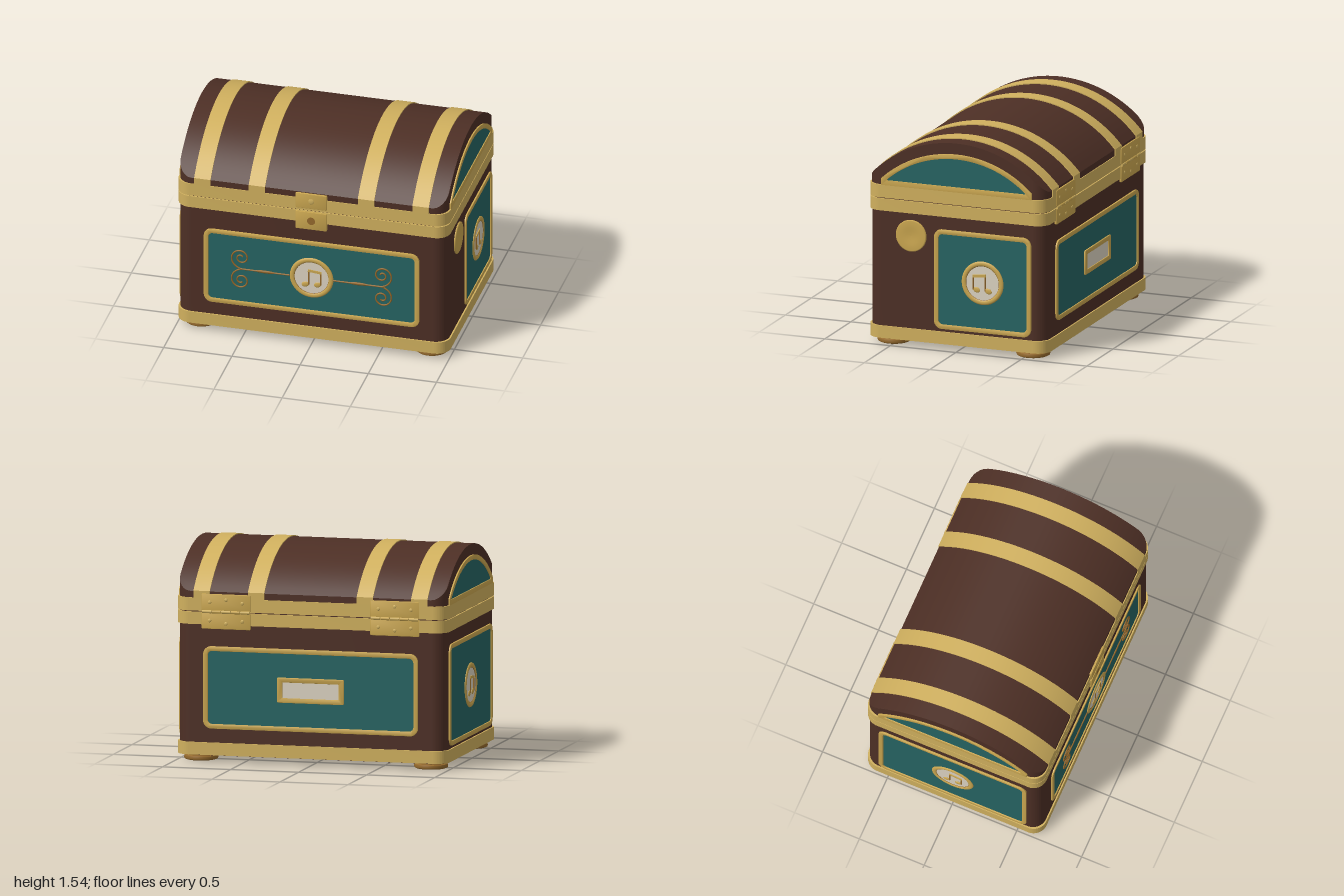
import * as THREE from 'three';
import { toCreasedNormals } from 'three/addons/utils/BufferGeometryUtils.js';

const mat = (name, color) => Object.assign(new THREE.MeshStandardMaterial({ color }), { name });

const W = 0.985, D = 0.675, R = 0.1; // chest half width, half depth, corner radius
const LID_R = 0.9, LID_CY = 0.63;    // lid arc radius and centre height

function roundRect(cx, cy, hw, hh, r) {
  const s = new THREE.Shape();
  s.absarc(cx + hw - r, cy + hh - r, r, 0, Math.PI / 2);
  s.absarc(cx - hw + r, cy + hh - r, r, Math.PI / 2, Math.PI);
  s.absarc(cx - hw + r, cy - hh + r, r, Math.PI, Math.PI * 1.5);
  s.absarc(cx + hw - r, cy - hh + r, r, Math.PI * 1.5, Math.PI * 2);
  s.closePath();
  return s;
}

function arch(h, bottom, r, cy) {
  const a = Math.acos(h / r), s = new THREE.Shape();
  s.moveTo(-h, bottom);
  s.lineTo(h, bottom);
  s.absarc(0, cy, r, a, Math.PI - a);
  s.closePath();
  return s;
}

function extrude(shape, depth, bevel = 0) {
  const g = new THREE.ExtrudeGeometry(shape, {
    depth: depth - bevel, curveSegments: 28, bevelEnabled: bevel > 0,
    bevelThickness: bevel, bevelSize: bevel, bevelOffset: -bevel, bevelSegments: 2
  });
  return toCreasedNormals(g, 0.6);
}

export function createModel() {
  const wood = mat('dark wood', 0x4d2f25);
  const gold = mat('gold', 0xd0b05e);
  const trim = mat('trim gold', 0xcba750);
  const teal = mat('teal', 0x266463);
  const bronze = mat('bronze', 0x94692c);
  const cream = mat('cream', 0xdcd3c1);

  const chest = new THREE.Group();
  chest.name = 'chest';

  const add = (parent, name, geometry, material, x = 0, y = 0, z = 0) => {
    const m = new THREE.Mesh(geometry, material);
    m.name = name;
    m.position.set(x, y, z);
    parent.add(m);
    return m;
  };
  // Groups on each wall: local +z points outward, y is world height
  const wall = (name, x, z, turn) => {
    const g = new THREE.Group();
    g.name = name;
    g.position.set(x, 0, z);
    g.rotation.y = turn;
    chest.add(g);
    return g;
  };
  const front = wall('frontWall', 0, D, 0);
  const back = wall('backWall', 0, -D, Math.PI);
  const left = wall('leftWall', W, 0, Math.PI / 2);
  const right = wall('rightWall', -W, 0, -Math.PI / 2);

  // Body and bands
  const slab = (name, hw, hd, y0, y1, material, bevel = 0) => {
    const g = extrude(roundRect(0, 0, hw, hd, R), y1 - y0, bevel);
    g.rotateX(-Math.PI / 2);
    add(chest, name, g, material, 0, y0, 0);
  };
  slab('body', W, D, 0.048, 1.1, wood);
  slab('baseBand', 0.996, 0.685, 0.05, 0.14, gold);
  slab('bodyRim', 0.996, 0.685, 0.985, 1.074, gold);
  slab('lidRim', 0.996, 0.685, 1.081, 1.175, gold);

  // Arched lid, clipped to the rounded plan
  const lid = new THREE.BoxGeometry(14, 2, 2, 14, 1, 36);
  const p = lid.attributes.position;
  for (let i = 0; i < p.count; i++) {
    const k = 7 - Math.abs(p.getX(i)), a = Math.min(k / 6, 1) * Math.PI / 2;
    const x = k > 6.5 ? 0 : Math.sign(p.getX(i)) * (W - R + R * Math.cos(a));
    const z = p.getZ(i) * (D + 0.004 - R + R * Math.sin(a));
    const y = p.getY(i) > 0 ? LID_CY + Math.sqrt(LID_R * LID_R - z * z) : 1.16;
    p.setXYZ(i, x, y, z);
  }
  add(chest, 'lid', toCreasedNormals(lid, 0.4), wood);

  // Lid straps
  for (const x of [-0.8, -0.4, 0.4, 0.8]) {
    const g = extrude(arch(0.685, 1.17, LID_R + 0.007, LID_CY), 0.12);
    g.rotateY(Math.PI / 2);
    add(chest, 'lidStrap', g, gold, x - 0.06);
  }

  // Bun feet
  const footProfile = [[0, 0], [0.105, 0], [0.118, 0.006], [0.122, 0.016], [0.118, 0.03], [0.108, 0.036], [0.108, 0.052], [0, 0.052]]
    .map(([x, y]) => new THREE.Vector2(x, y));
  for (const x of [-0.845, 0.845]) for (const z of [-0.53, 0.53])
    add(chest, 'foot', toCreasedNormals(new THREE.LatheGeometry(footProfile, 32), 0.7), bronze, x, 0, z);

  // Framed teal panels
  const panel = (parent, cx, cy, hw, hh) => {
    const ring = roundRect(cx, cy, hw, hh, 0.06);
    ring.holes.push(roundRect(cx, cy, hw - 0.034, hh - 0.034, 0.032));
    add(parent, 'panelFrame', extrude(ring, 0.012, 0.004), trim);
    add(parent, 'panelInset', extrude(roundRect(cx, cy, hw - 0.02, hh - 0.02, 0.045), 0.004), teal);
  };
  panel(front, 0, 0.535, 0.79, 0.295);
  panel(back, 0, 0.535, 0.79, 0.295);
  panel(left, 0.2, 0.525, 0.37, 0.365);
  panel(right, 0, 0.525, 0.57, 0.365);

  // Medallions with a pair of joined notes; s = -1 mirrors the notes
  const medallion = (parent, cx, cy, s) => {
    const m = new THREE.Group();
    m.name = 'medallion';
    m.position.set(cx, cy, 0.004);
    parent.add(m);
    const rim = new THREE.TorusGeometry(0.142, 0.018, 10, 48);
    rim.scale(1, 1, 0.55);
    add(m, 'medallionRim', rim, trim);
    add(m, 'medallionFace', new THREE.CircleGeometry(0.13, 48), cream, 0, 0, 0.002);
    const fine = new THREE.TorusGeometry(0.127, 0.003, 6, 48);
    add(m, 'medallionLine', fine, bronze, 0, 0, 0.002);
    for (const [hx, hy, top] of [[-0.045, -0.055, 0.06], [0.045, -0.05, 0.05]]) {
      const head = new THREE.SphereGeometry(1, 16, 10);
      head.scale(0.028, 0.02, 0.006);
      head.rotateZ(0.3 * s);
      add(m, 'noteHead', head, trim, s * hx, hy, 0.004);
      add(m, 'noteStem', new THREE.BoxGeometry(0.009, top - hy, 0.006), bronze, s * (hx + 0.024), (top + hy) / 2, 0.005);
    }
    const beam = add(m, 'noteBeam', new THREE.BoxGeometry(0.1, 0.018, 0.007), trim, s * 0.024, 0.053, 0.005);
    beam.rotation.z = -0.1 * s;
  };
  medallion(front, 0, 0.535, 1);
  medallion(left, 0.2, 0.525, -1);
  medallion(right, 0, 0.525, 1);

  // Front scrollwork
  for (const s of [-1, 1]) {
    const stem = new THREE.CylinderGeometry(0.006, 0.006, 0.36, 8);
    stem.rotateZ(Math.PI / 2);
    add(front, 'scrollStem', stem, bronze, s * 0.34, 0.535, 0.007);
    const leaf = new THREE.SphereGeometry(1, 16, 8);
    leaf.scale(0.08, 0.011, 0.008);
    add(front, 'scrollLeaf', leaf, bronze, s * 0.34, 0.535, 0.007);
    for (const v of [-1, 1]) {
      const pts = [];
      for (let i = 0; i <= 30; i++) {
        const t = i / 30, a = -Math.PI / 2 + t * Math.PI * 3.3, r = 0.09 - 0.075 * Math.pow(t, 0.65);
        pts.push(new THREE.Vector3(s * (0.517 + r * Math.cos(a)), 0.535 + v * (0.09 + r * Math.sin(a)), 0.007));
      }
      add(front, 'scrollCurl', new THREE.TubeGeometry(new THREE.CatmullRomCurve3(pts), 70, 0.006, 7), bronze);
    }
  }

  // Dished disc on the left wall
  const disc = [[0.116, 0], [0.116, 0.008], [0.108, 0.012], [0.06, 0.011], [0.04, 0.007], [0, 0.006]]
    .map(([x, y]) => new THREE.Vector2(x, y));
  const discGeo = new THREE.LatheGeometry(disc, 40);
  discGeo.rotateX(Math.PI / 2);
  add(left, 'sideDisc', discGeo, trim, -0.345, 0.82, 0);

  // Arched panels on the lid ends
  for (const side of [left, right]) {
    const frame = arch(0.575, 1.17, 0.833, 0.617);
    frame.holes.push(arch(0.525, 1.21, 0.798, 0.617));
    add(side, 'lidEndFrame', extrude(frame, 0.011, 0.003), trim);
    add(side, 'lidEndInset', extrude(arch(0.55, 1.19, 0.815, 0.617), 0.004), teal);
  }

  // Front clasp
  const plate = (parent, name, cx, cy, hw, hh, depth) =>
    add(parent, name, extrude(roundRect(cx, cy, hw, hh, 0.008), depth, 0.004), trim);
  plate(front, 'claspUpper', 0, 1.157, 0.115, 0.059, 0.019);
  plate(front, 'claspLower', 0, 1.0, 0.115, 0.07, 0.019);
  add(front, 'keyhole', new THREE.CircleGeometry(0.03, 24), bronze, 0, 1.0, 0.0196);
  const stud = new THREE.SphereGeometry(1, 12, 8);
  stud.scale(0.022, 0.022, 0.005);
  add(front, 'claspStud', stud, gold, 0, 1.157, 0.018);

  // Rear hinges
  const screw = new THREE.SphereGeometry(1, 10, 8);
  screw.scale(0.013, 0.013, 0.005);
  for (const x of [-0.62, 0.62]) {
    for (const y of [1.015, 1.145]) {
      plate(back, 'hingeLeaf', x, y, 0.18, 0.06, 0.015);
      for (const dx of [-0.12, 0.12])
        add(back, 'hingeScrew', screw, gold, x + dx, y, 0.015);
      add(back, 'hingeScrew', screw, gold, x, y + (y > 1.1 ? 0.02 : -0.02), 0.015);
    }
    for (let i = -2; i <= 2; i++) {
      const knuckle = new THREE.CylinderGeometry(0.012, 0.012, 0.066, 14);
      knuckle.rotateZ(Math.PI / 2);
      add(back, 'hingeKnuckle', knuckle, i % 2 ? trim : gold, x + i * 0.07, 1.078, 0.011);
    }
  }

  // Rear name plate
  const label = roundRect(0, 0.535, 0.245, 0.09, 0.01);
  label.holes.push(roundRect(0, 0.535, 0.205, 0.056, 0.005));
  add(back, 'labelFrame', extrude(label, 0.014, 0.004), trim);
  add(back, 'labelFace', extrude(roundRect(0, 0.535, 0.22, 0.07, 0.005), 0.007), cream);

  return chest;
}
